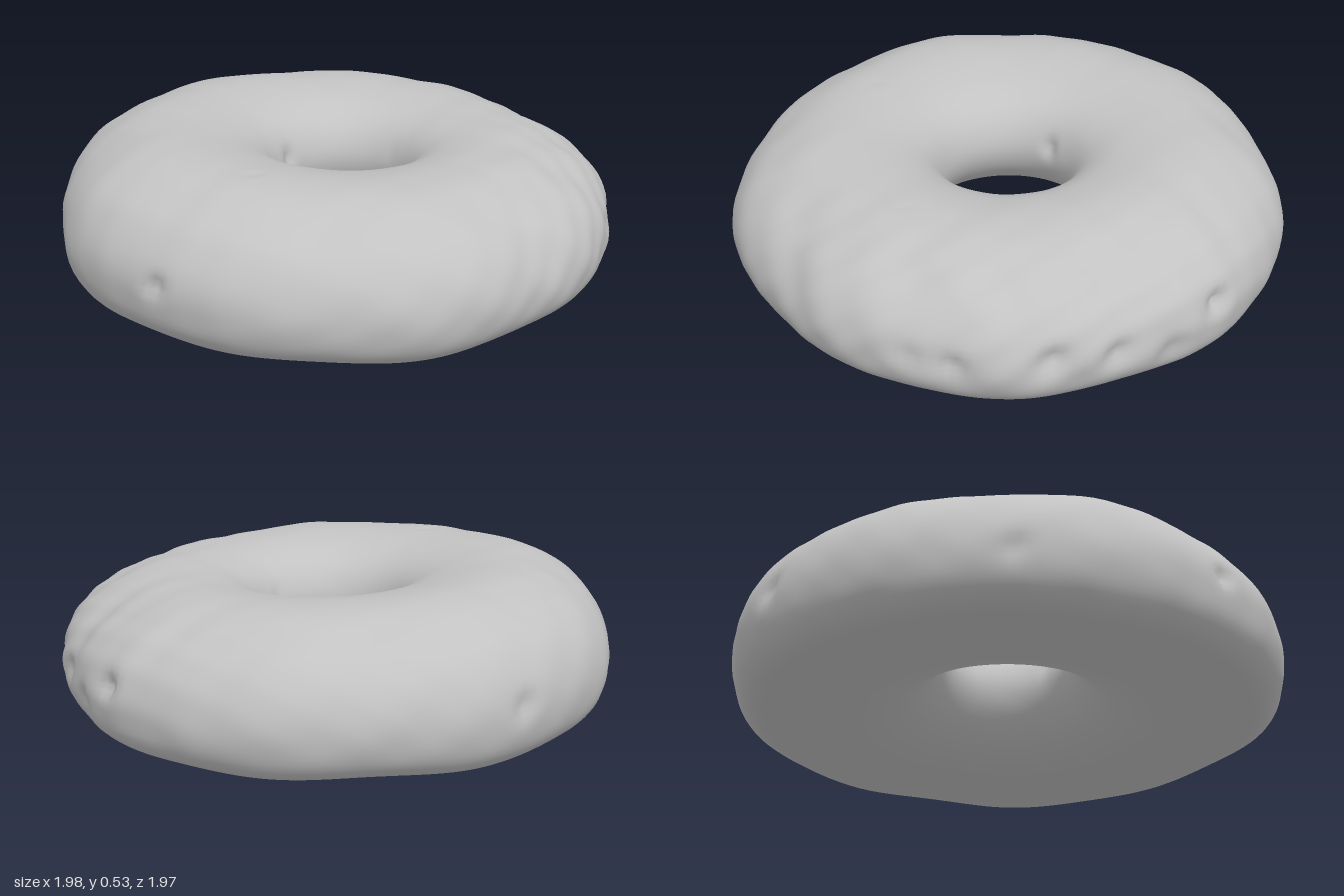
import * as THREE from 'three';

// Cross-section of the ring as [radius, height]: outer side, crown, hole wall, hollow underside
const PROFILE = [
  [0.985, 0.2], [0.963, 0.3], [0.9, 0.39], [0.8, 0.458], [0.69, 0.502], [0.57, 0.515],
  [0.45, 0.502], [0.35, 0.472], [0.28, 0.425], [0.238, 0.36], [0.224, 0.29], [0.245, 0.215],
  [0.31, 0.135], [0.4, 0.075], [0.52, 0.03], [0.66, 0.012], [0.8, 0.018], [0.9, 0.038], [0.96, 0.095],
];

// Small pits as [x, y, z, radius, depth]
const PITS = [
  [0.26, 0.33, -0.16, 0.04, 0.035], [-0.17, 0.33, -0.16, 0.04, 0.035], [0.25, 0.33, 0.15, 0.04, 0.03],
  [0.97, 0.2, 0.17, 0.05, 0.03], [0.94, 0.21, 0.32, 0.06, 0.025], [0.97, 0.22, -0.15, 0.06, 0.035],
  [0.92, 0.2, -0.36, 0.06, 0.035], [0.69, 0.25, -0.69, 0.045, 0.04], [0.82, 0.15, -0.55, 0.07, 0.025],
  [-0.65, 0.25, 0.74, 0.04, 0.03], [-0.97, 0.2, 0.08, 0.05, 0.02], [-0.65, 0.24, -0.73, 0.05, 0.025],
  [0.5, 0.47, 0.34, 0.022, 0.02], [-0.31, 0.51, 0.49, 0.025, 0.015], [0.6, 0.32, 0.72, 0.16, 0.02],
];

const AROUND = 200;
const SECTION = 90;
const CORE_RADIUS = 0.61;
const CORE_HEIGHT = 0.25;

// Gentle hand-shaped unevenness, strongest on the upper outside of the +x half
function unevenness(a, x, y, z, r) {
  const outer = THREE.MathUtils.smoothstep(r, 0.45, 0.9);
  const upper = THREE.MathUtils.smoothstep(y, 0.03, 0.18);
  const rough = 0.35 + 0.65 * THREE.MathUtils.smoothstep(x, 0.1, 0.9);
  const broad = 0.006 * Math.sin(5 * a + 0.8) + 0.005 * Math.sin(9 * a + 2);
  const fine = Math.sin(17 * x + 9 * y) * Math.sin(19 * z - 14 * y + 1)
    + 0.6 * Math.sin(31 * z + 23 * y) * Math.sin(27 * x - 18 * y);
  return outer * broad + upper * (0.3 + 0.7 * outer) * rough * 0.007 * fine;
}

function ringGeometry() {
  const curve = new THREE.CatmullRomCurve3(
    PROFILE.map(([r, y]) => new THREE.Vector3(r, y, 0)), true, 'centripetal');
  const section = curve.getSpacedPoints(SECTION).slice(0, SECTION);
  const positions = [];
  const indices = [];
  const point = new THREE.Vector3();
  const inward = new THREE.Vector3();
  const pit = new THREE.Vector3();

  for (let i = 0; i < AROUND; i++) {
    const a = (i / AROUND) * Math.PI * 2;
    const cos = Math.cos(a);
    const sin = Math.sin(a);
    for (const { x: r, y } of section) {
      // The hole sits slightly off centre and the crown slopes down towards +x
      const hole = 1 - THREE.MathUtils.smoothstep(r, 0.22, 0.6);
      point.set(r * cos + 0.025 * hole, y * (1 - 0.08 * r * cos), r * sin);
      inward.set((CORE_RADIUS - r) * cos, CORE_HEIGHT - y, (CORE_RADIUS - r) * sin).normalize();

      let depth = -unevenness(a, point.x, point.y, point.z, r);
      for (const [px, py, pz, size, deep] of PITS) {
        const d = point.distanceTo(pit.set(px, py, pz)) / size;
        depth += deep * Math.exp(-d * d * 1.5);
      }
      point.addScaledVector(inward, depth);
      positions.push(point.x, Math.max(point.y, 0), point.z);
    }
  }

  // Join neighbouring sections, wrapping both ways
  for (let i = 0; i < AROUND; i++) {
    const here = i * SECTION;
    const next = ((i + 1) % AROUND) * SECTION;
    for (let j = 0; j < SECTION; j++) {
      const k = (j + 1) % SECTION;
      indices.push(here + j, here + k, next + j, next + j, here + k, next + k);
    }
  }

  const geometry = new THREE.BufferGeometry();
  geometry.setAttribute('position', new THREE.Float32BufferAttribute(positions, 3));
  geometry.setIndex(indices);
  geometry.computeVertexNormals();
  return geometry;
}

export function createModel() {
  const group = new THREE.Group();
  group.name = 'doughnut';
  const grey = new THREE.MeshStandardMaterial({ color: 0xc2c2c2 });
  grey.name = 'plain grey';
  const dough = new THREE.Mesh(ringGeometry(), grey);
  dough.name = 'doughRing';
  group.add(dough);
  return group;
}
